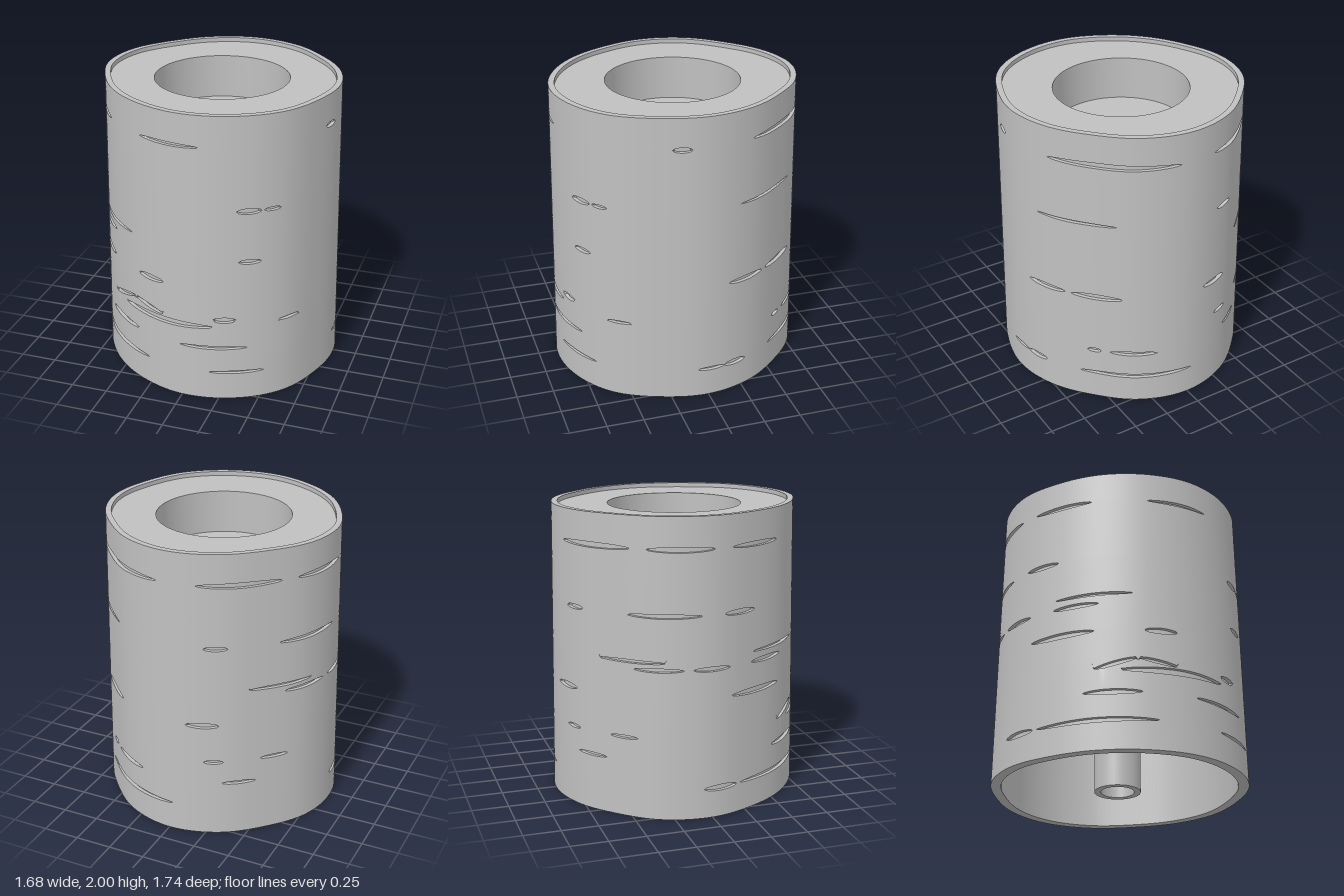
import * as THREE from 'three';
import { toCreasedNormals } from 'three/addons/utils/BufferGeometryUtils.js';

const COLUMNS = 360;
const HEIGHT = 2;

// Irregular log outline: radius every 22.5 degrees, from the front (+z) towards +x
const RADII = [0.868, 0.88, 0.877, 0.842, 0.838, 0.82, 0.808, 0.845,
  0.869, 0.855, 0.83, 0.848, 0.84, 0.806, 0.81, 0.832];
const radiusCurve = new THREE.CatmullRomCurve3(
  RADII.map((r) => new THREE.Vector3(r, 0, 0)), true, 'catmullrom', 0.5);
const OUTLINE = Array.from({ length: COLUMNS }, (_, d) => radiusCurve.getPoint(d / COLUMNS).x);

const taper = (y) => 1 - 0.032 * y / HEIGHT;
const INNER = 0.92;

// Bark slits, one band per height: [startDegree, endDegree, halfHeight, startY, endY]
const BANDS = [
  { y: 1.79, slits: [[-80, -49, 0.016], [-22, 8, 0.012], [73, 82, 0.018], [113, 175, 0.02],
    [-167, -128, 0.018], [-120, -89, 0.018]] },
  { y: 1.365, slits: [[24, 35, 0.02], [36, 44, 0.013], [106, 147, 0.009], [-84, -66, 0.018],
    [-164, -153, 0.016], [-129, -95, 0.015]] },
  { y: 1.08, slits: [[-67, -29, 0.011], [-144, -111, 0.011, 1.06, 1.06]] },
  { y: 1.012, slits: [[-68, -45, 0.017], [25, 35, 0.017], [-126, -103, 0.014], [-99, -81, 0.016]] },
  { y: 0.815, slits: [[-80, -47, 0.02], [-24, -9, 0.02], [100, 121, 0.018], [124, 149, 0.02],
    [-172, -157, 0.02]] },
  { y: 0.6, slits: [[-48, -27, 0.016, 0.54, 0.62], [-27, -9, 0.014, 0.62, 0.575],
    [14, 24, 0.02, 0.592, 0.592]] },
  { y: 0.545, slits: [[-35, 14, 0.022, 0.535, 0.54], [43, 55, 0.01, 0.555, 0.555],
    [-164, -155, 0.014], [-138, -124, 0.012]] },
  { y: 0.385, slits: [[-52, -25, 0.018], [-1, 29, 0.012], [132, 139, 0.016], [143, 165, 0.016],
    [-156, -140, 0.012]] },
  { y: 0.2, slits: [[-75, -18, 0.016], [12, 37, 0.01], [85, 98, 0.012], [98, 110, 0.02],
    [128, 182, 0.015], [-94, -77, 0.02]] },
];
const SLIT_DEPTH = 0.025;

// Centre height and half height of a band at one degree
function bandAt(band, degree) {
  for (const [a, b, half, y0 = band.y, y1 = band.y] of band.slits) {
    const d = ((degree - a) % 360 + 360) % 360;
    if (d > 0 && d < b - a) {
      const t = d / (b - a);
      return { y: y0 + (y1 - y0) * t, h: half * Math.sqrt(Math.sin(Math.PI * t)) };
    }
  }
  return { y: band.y, h: 0 };
}

// Skin a list of rings; every ring maps a degree to [radius, y]
function loft(rings, crease = 0.5) {
  const points = rings.map((ring) => Array.from({ length: COLUMNS }, (_, d) => {
    const [r, y] = ring(d);
    const a = THREE.MathUtils.degToRad(d);
    return new THREE.Vector3(r * Math.sin(a), y, r * Math.cos(a));
  }));
  const positions = [];
  const tri = new THREE.Triangle();
  const add = (a, b, c) => {
    if (tri.set(a, b, c).getArea() > 1e-8) positions.push(...a, ...b, ...c);
  };
  for (let i = 0; i < points.length - 1; i++) {
    for (let j = 0; j < COLUMNS; j++) {
      const k = (j + 1) % COLUMNS;
      add(points[i][j], points[i + 1][j], points[i + 1][k]);
      add(points[i][j], points[i + 1][k], points[i][k]);
    }
  }
  const geometry = new THREE.BufferGeometry();
  geometry.setAttribute('position', new THREE.Float32BufferAttribute(positions, 3));
  return toCreasedNormals(geometry, crease);
}

const outlineRing = (scale, y) => (d) => [OUTLINE[d] * scale, y];
const circleRing = (radius, y) => () => [radius, y];

export function createModel() {
  const group = new THREE.Group();
  const grey = new THREE.MeshStandardMaterial({ color: 0xc0c0c0 });
  grey.name = 'grey';
  const addPart = (name, rings) => {
    const mesh = new THREE.Mesh(loft(rings), grey);
    mesh.name = name;
    group.add(mesh);
  };

  // Tapered outer bark with engraved slits, from top to bottom
  const bark = [outlineRing(taper(HEIGHT), HEIGHT)];
  for (const band of BANDS) {
    for (const [side, sunk] of [[1, 0], [1, 1], [-1, 1], [-1, 0]]) {
      bark.push((d) => {
        const { y, h } = bandAt(band, d);
        const depth = sunk && h > 0 ? SLIT_DEPTH : 0;
        return [OUTLINE[d] * taper(y) - depth, y + side * h];
      });
    }
  }
  bark.push(outlineRing(1, 0));
  addPart('barkWall', bark);

  // Bottom edge, hollow inside and ceiling
  addPart('innerWall', [outlineRing(1, 0), outlineRing(INNER, 0), outlineRing(INNER, 1.9),
    circleRing(0.52, 1.9)]);

  // Underside of the candle cup
  addPart('cupUnderside', [circleRing(0.52, 1.9), circleRing(0.52, 1.6), circleRing(0.155, 1.6)]);

  // Central tube, open at both ends
  addPart('centreTube', [circleRing(0.155, 1.6), circleRing(0.155, 0), circleRing(0.112, 0),
    circleRing(0.112, 1.67)]);

  // Cup floor and side
  addPart('candleCup', [circleRing(0.112, 1.67), circleRing(0.455, 1.67), circleRing(0.455, 1.97)]);

  // Sunken top plate and raised rim
  addPart('topPlate', [circleRing(0.455, 1.97), outlineRing(INNER, 1.97)]);
  addPart('topRim', [outlineRing(INNER, 1.97), outlineRing(INNER, HEIGHT),
    outlineRing(taper(HEIGHT), HEIGHT)]);

  return group;
}
